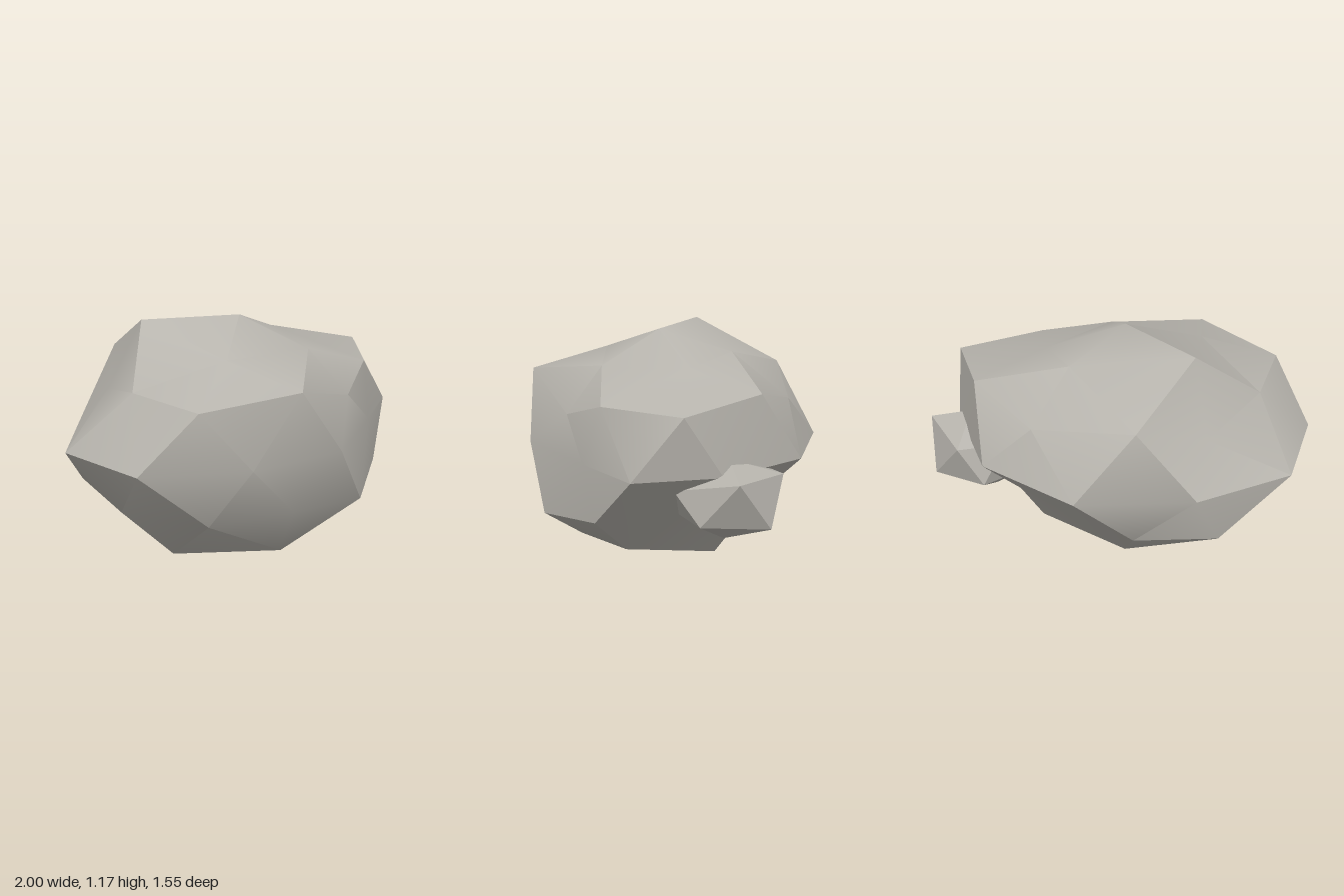
import * as THREE from 'three';
import { toCreasedNormals } from 'three/addons/utils/BufferGeometryUtils.js';
import { ConvexGeometry } from 'three/addons/geometries/ConvexGeometry.js';

const stone = new THREE.MeshStandardMaterial({ color: 0xb8b5ae });
stone.name = 'pale grey stone';

// Rings of the weathered boulder, counter-clockwise seen from above, starting at +x
const top = [-0.04, 1.17, 0.08];
const crown = [[0.37, 1.02, -0.02], [0.15, 1.07, -0.28], [-0.48, 1.17, -0.19], [-0.39, 1.03, 0.33], [0.14, 1.01, 0.40]];
const shoulder = [
  [0.91, 0.89, 0.08], [0.65, 0.94, -0.34], [0.26, 0.84, -0.56], [-0.30, 0.94, -0.62], [-0.59, 0.80, -0.34],
  [-0.77, 0.89, 0.06], [-0.77, 0.88, 0.52], [-0.30, 0.93, 0.745], [0.24, 0.78, 0.59], [0.56, 0.88, 0.44],
];
// The girdle is level, so it holds only x and z
const girdle = [
  [0.85, -0.12], [0.53, -0.57], [-0.03, -0.775], [-0.60, -0.57], [-1.00, -0.19],
  [-1.00, 0.34], [-0.56, 0.67], [-0.03, 0.775], [0.50, 0.53], [0.89, 0.33],
].map(([x, z]) => [x, 0.58, z]);
const belly = [
  [0.60, 0.32, 0.05], [0.51, 0.32, -0.25], [0.19, 0.32, -0.45], [-0.28, 0.29, -0.58], [-0.69, 0.30, -0.45],
  [-0.87, 0.30, 0.07], [-0.66, 0.27, 0.47], [-0.28, 0.30, 0.68], [0.21, 0.25, 0.715], [0.62, 0.31, 0.48],
];
const foot = [[0.36, 0.05, -0.16], [-0.16, 0.03, -0.32], [-0.57, 0, 0.12], [-0.17, 0.01, 0.50], [0.34, 0.075, 0.30]];
const bottom = [-0.10, 0.01, 0.06];

function boulderGeometry() {
  const pos = [];
  const tri = (...corners) => corners.forEach((c) => pos.push(...c));
  const at = (ring, i) => ring[(i + ring.length) % ring.length];

  // Caps: five-sided crown and foot joined to the ten-sided rings
  for (let k = 0; k < 5; k++) {
    const a = at(crown, k), a2 = at(crown, k + 1);
    const b = [0, 1, 2].map((n) => at(shoulder, 2 * k + n));
    tri(top, a, a2);
    tri(a, b[0], b[1]);
    tri(a, b[1], a2);
    tri(a2, b[1], b[2]);

    const d = at(foot, k), d2 = at(foot, k + 1);
    const c = [0, 1, 2].map((n) => at(belly, 2 * k + n));
    tri(bottom, d2, d);
    tri(d, c[1], c[0]);
    tri(d, c[2], c[1]);
    tri(d, d2, c[2]);
  }
  // Bands above and below the girdle
  for (let j = 0; j < 10; j++) {
    const e = at(girdle, j), e0 = at(girdle, j - 1);
    tri(at(shoulder, j), e, at(shoulder, j + 1));
    tri(at(shoulder, j), e0, e);
    tri(at(belly, j), e, e0);
    tri(at(belly, j), at(belly, j + 1), e);
  }
  const geometry = new THREE.BufferGeometry();
  geometry.setAttribute('position', new THREE.Float32BufferAttribute(pos, 3));
  return toCreasedNormals(geometry, 0.53);
}

// Small twenty-sided stone lodged in the side
function pebbleGeometry() {
  return new ConvexGeometry([
    [0.76, 0.65, -0.16],
    [0.995, 0.58, -0.17], [0.73, 0.56, -0.435], [0.50, 0.57, -0.32], [0.50, 0.56, 0.00], [0.76, 0.50, 0.11],
    [0.91, 0.335, -0.34], [0.60, 0.35, -0.41], [0.46, 0.33, -0.17], [0.60, 0.34, 0.07], [0.89, 0.35, 0.00],
    [0.63, 0.21, -0.16],
  ].map((p) => new THREE.Vector3(...p)));
}

export function createModel() {
  const group = new THREE.Group();
  group.name = 'rock';
  const add = (name, geometry) => {
    const mesh = new THREE.Mesh(geometry, stone);
    mesh.name = name;
    group.add(mesh);
  };
  add('boulder', boulderGeometry());
  add('pebble', pebbleGeometry());
  return group;
}
